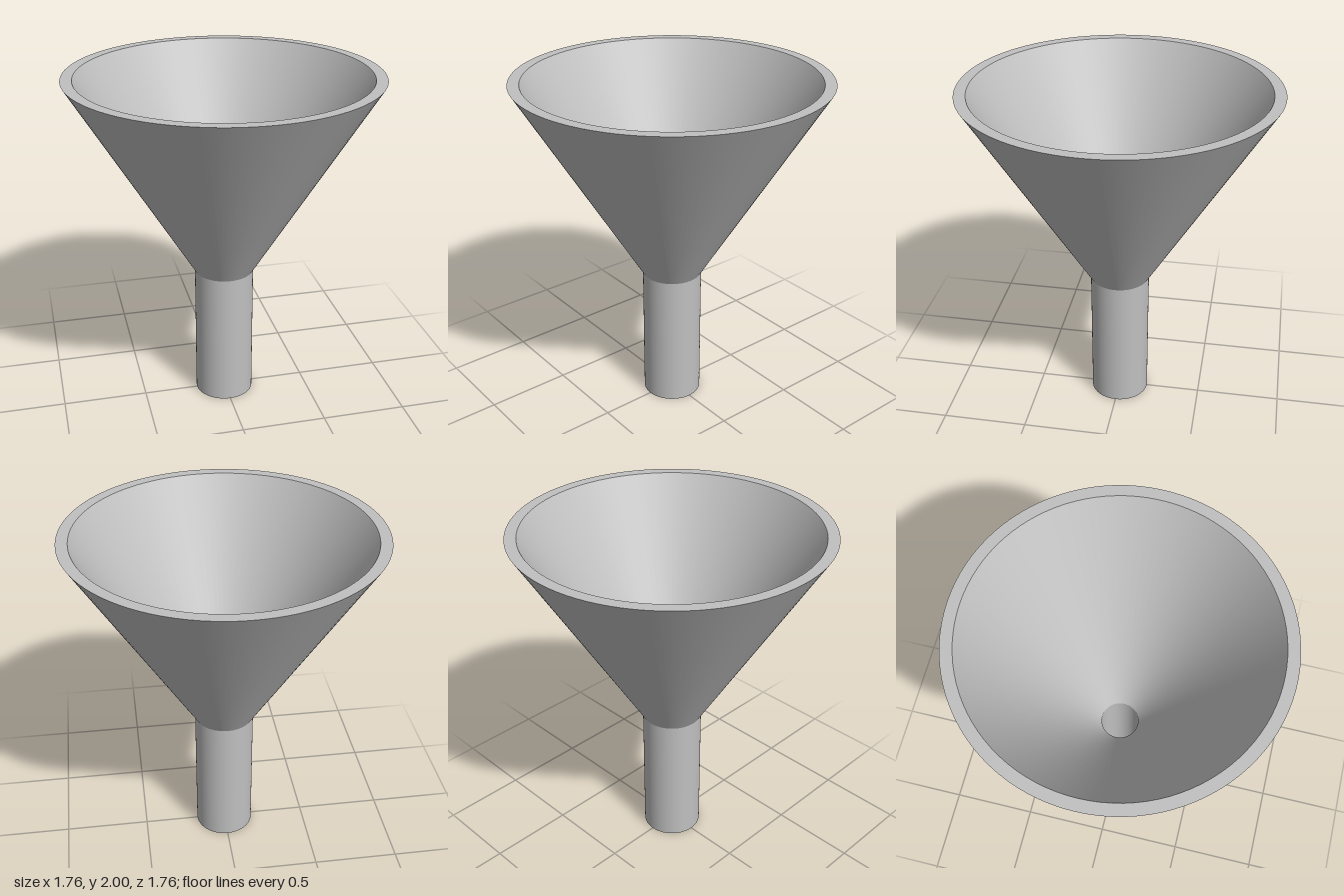
import * as THREE from 'three';

const SEGMENTS = 96;

export function createModel() {
  const grey = new THREE.MeshStandardMaterial({ color: 0xc0c0c0 });
  grey.name = 'plain grey';

  const height = 2, neckY = 0.82;
  const rimOuter = 0.882, rimInner = 0.818;
  const spoutOuter = 0.173, spoutInner = 0.11;

  // One smooth band of revolution; separate bands keep the edges sharp
  const band = (name, r0, y0, r1, y1) => {
    const profile = [new THREE.Vector2(r0, y0), new THREE.Vector2(r1, y1)];
    const mesh = new THREE.Mesh(new THREE.LatheGeometry(profile, SEGMENTS), grey);
    mesh.name = name;
    return mesh;
  };

  // Conical bowl with a flat rim
  const bowl = new THREE.Group();
  bowl.name = 'bowl';
  bowl.add(
    band('bowlOutside', spoutOuter, neckY, rimOuter, height),
    band('rim', rimOuter, height, rimInner, height),
    band('bowlInside', rimInner, height, spoutInner, neckY),
  );

  // Straight hollow spout
  const spout = new THREE.Group();
  spout.name = 'spout';
  spout.add(
    band('spoutOutside', spoutOuter, 0, spoutOuter, neckY),
    band('spoutInside', spoutInner, neckY, spoutInner, 0),
    band('spoutEnd', spoutInner, 0, spoutOuter, 0),
  );

  const funnel = new THREE.Group();
  funnel.name = 'funnel';
  funnel.add(bowl, spout);
  return funnel;
}
